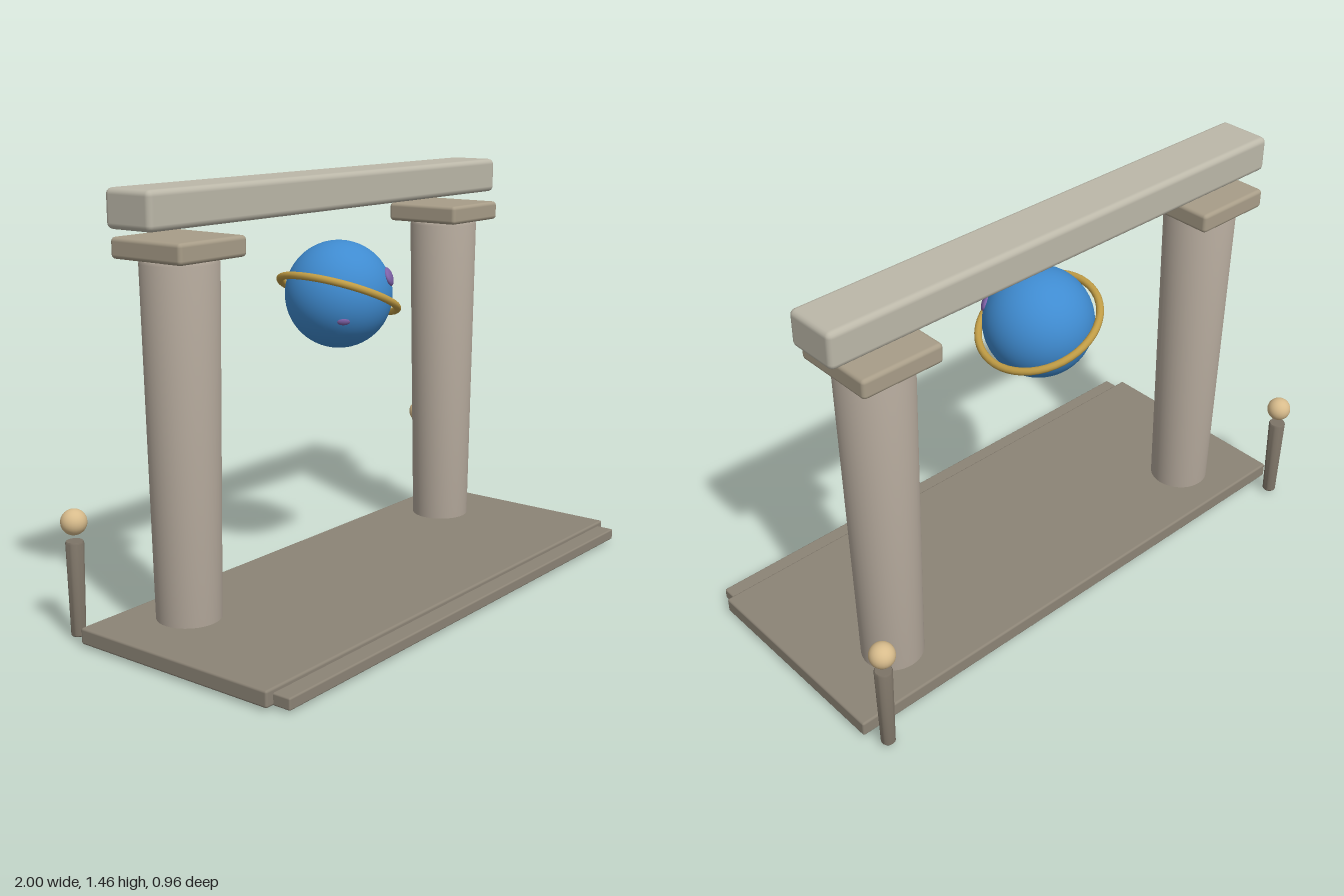
import * as THREE from 'three';
import { toCreasedNormals } from 'three/addons/utils/BufferGeometryUtils.js';
import { RoundedBoxGeometry } from 'three/addons/geometries/RoundedBoxGeometry.js';

const mat = (color) => new THREE.MeshStandardMaterial({ color });
const MATS = {
  base: mat(0x8c8476), column: mat(0xb0a598), capital: mat(0xa89d88), lintel: mat(0xbcb8a9),
  post: mat(0x7d7467), lamp: mat(0xd8bc8c), planet: mat(0x3f8bd0), ring: mat(0xc09c45),
  spot: mat(0x7f62a8), panel: mat(0xa8966f),
};

export function createModel() {
  const root = new THREE.Group();
  root.name = 'gateway';

  const add = (name, geometry, material, x, y, z, parent = root) => {
    const mesh = new THREE.Mesh(geometry, material);
    mesh.name = name;
    mesh.position.set(x, y, z);
    parent.add(mesh);
    return mesh;
  };
  // Rounded box given by its minimum and maximum corners
  const slab = (name, material, [x0, y0, z0], [x1, y1, z1], r) =>
    add(name, new RoundedBoxGeometry(x1 - x0, y1 - y0, z1 - z0, 2, r), material,
      (x0 + x1) / 2, (y0 + y1) / 2, (z0 + z1) / 2);
  const turned = (points, segments) => toCreasedNormals(
    new THREE.LatheGeometry(points.map(([r, y]) => new THREE.Vector2(r, y)), segments), 0.6);

  // Floor, front step and the inset panel underneath
  slab('floor', MATS.base, [-1, 0.01, -0.37], [1, 0.065, 0.415], 0.008);
  slab('frontStep', MATS.base, [-0.97, 0.01, 0.36], [0.97, 0.05, 0.478], 0.006);
  add('undersidePanel', new THREE.BoxGeometry(0.94, 0.01, 0.18), MATS.panel, 0, 0.012, 0.12);

  // Columns widen slightly upwards and carry square capitals
  const columnGeo = turned([
    [0, 0], [0.065, 0], [0.075, 0.01], [0.107, 0.03],
    [0.126, 1.222], [0.122, 1.231], [0.113, 1.235], [0, 1.235],
  ], 40);
  const postGeo = turned([
    [0, 0.01], [0.021, 0.01], [0.024, 0.014], [0.03, 0.324], [0.027, 0.33], [0, 0.33],
  ], 24);
  const lampGeo = new THREE.SphereGeometry(0.043, 24, 16);
  for (const [side, s] of [['left', 1], ['right', -1]]) {
    add(side + 'Column', columnGeo, MATS.column, s * 0.717, 0, -0.165);
    slab(side + 'Capital', MATS.capital,
      [s * 0.717 - 0.148, 1.235, -0.315], [s * 0.717 + 0.148, 1.303, -0.015], 0.014);
    // Lamp posts with floating globes behind the floor
    add(side + 'Post', postGeo, MATS.post, s * 0.952, 0, -0.435);
    add(side + 'Lamp', lampGeo, MATS.lamp, s * 0.952, 0.393, -0.435);
  }

  // Lintel floating above the capitals
  slab('lintel', MATS.lintel, [-0.93, 1.335, -0.262], [0.93, 1.46, -0.07], 0.02);

  // Hanging planet with tilted ring and surface spots
  const planet = new THREE.Group();
  planet.name = 'planet';
  planet.position.set(0, 1.04, -0.11);
  root.add(planet);
  add('globe', new THREE.SphereGeometry(0.187, 48, 32), MATS.planet, 0, 0, 0, planet);
  const ringGeo = new THREE.TorusGeometry(0.21, 0.013, 12, 48).rotateX(Math.PI / 2);
  add('ring', ringGeo, MATS.ring, 0, 0, 0, planet).rotation.z = -0.41;

  // Flattened spots lying on the globe, facing outwards
  const spotGeo = new THREE.SphereGeometry(1, 24, 16);
  const spot = (name, direction, size) => {
    const p = new THREE.Vector3(...direction).setLength(0.182);
    const mesh = add(name, spotGeo, MATS.spot, p.x, p.y, p.z, planet);
    mesh.scale.set(...size);
    mesh.quaternion.setFromEuler(new THREE.Euler(
      -Math.asin(p.y / p.length()), Math.atan2(p.x, p.z), 0, 'YXZ'));
  };
  spot('largeSpot', [0.095, 0.06, 0.14], [0.058, 0.034, 0.016]);
  spot('smallSpot', [-0.125, -0.07, 0.12], [0.024, 0.014, 0.009]);

  return root;
}
